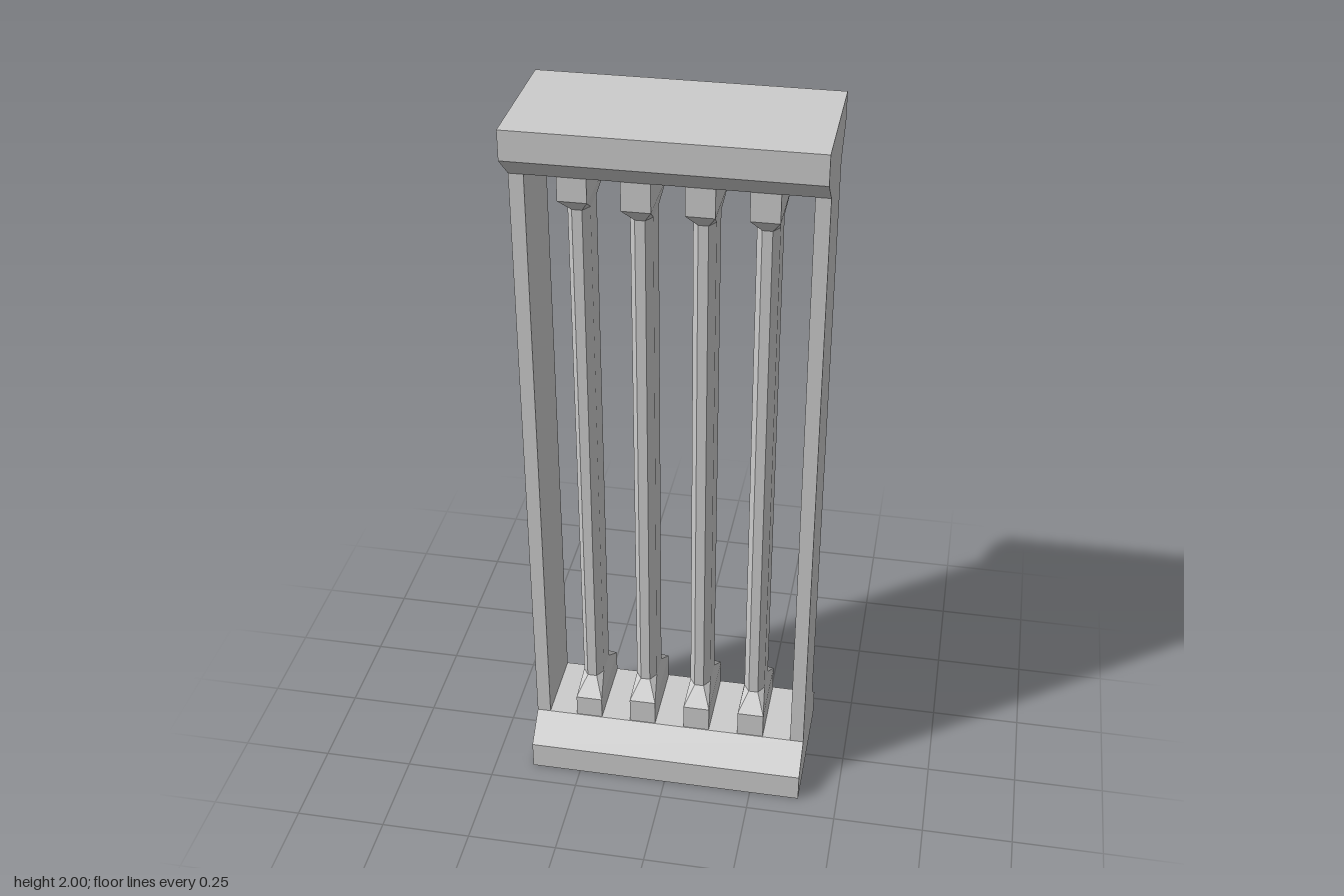
import * as THREE from 'three';

const material = new THREE.MeshStandardMaterial({ color: 0xcccccc, flatShading: true });
const HALF_W = 0.39, HALF_D = 0.188, WALL_D = 0.11, WALL_T = 0.038;

function add(parent, name, geometry) {
  const mesh = new THREE.Mesh(geometry, material);
  mesh.name = name;
  parent.add(mesh);
  return mesh;
}

// Chamfered rail: a (z, y) section extruded along x
function railGeometry(points) {
  const shape = new THREE.Shape(points.map(([z, y]) => new THREE.Vector2(z, y)));
  const g = new THREE.ExtrudeGeometry(shape, { depth: HALF_W * 2, bevelEnabled: false });
  g.translate(0, 0, -HALF_W);
  g.rotateY(-Math.PI / 2);
  return g;
}

// Eight corners of a chamfered rectangle, counter-clockwise seen from above
function ring(y, x, z, cx, cz) {
  return [[x, cz], [x, -cz], [cx, -z], [-cx, -z], [-x, -cz], [-x, cz], [-cx, z], [cx, z]]
    .map(([px, pz]) => [px, y, pz]);
}

// Skin stacked rings into a closed solid
function loft(rings) {
  const pos = [];
  const n = rings[0].length;
  for (let r = 0; r < rings.length - 1; r++) {
    for (let i = 0; i < n; i++) {
      const j = (i + 1) % n;
      const a = rings[r][i], b = rings[r][j], c = rings[r + 1][j], d = rings[r + 1][i];
      pos.push(...a, ...b, ...c, ...a, ...c, ...d);
    }
  }
  const low = rings[0], high = rings[rings.length - 1];
  for (let i = 1; i < n - 1; i++) {
    pos.push(...low[0], ...low[i + 1], ...low[i], ...high[0], ...high[i], ...high[i + 1]);
  }
  const g = new THREE.BufferGeometry();
  g.setAttribute('position', new THREE.Float32BufferAttribute(pos, 3));
  g.computeVertexNormals();
  return g;
}

// Mullion: square-ended foot and head tapering to a slim chamfered shaft
function mullionGeometry(footTop, shaftBottom, shaftTop, headBottom) {
  const block = y => ring(y, 0.037, 0.108, 0.037, 0.108);
  const shaft = y => ring(y, 0.029, 0.06, 0.013, 0.035);
  return loft([
    block(0.145), block(footTop), shaft(shaftBottom),
    shaft(shaftTop), block(headBottom), block(1.86),
  ]);
}

export function createModel() {
  const model = new THREE.Group();
  model.name = 'mullionedFrame';

  // Sill and lintel
  add(model, 'sill', railGeometry([
    [-HALF_D, 0], [HALF_D, 0], [HALF_D, 0.08], [WALL_D, 0.148], [-WALL_D, 0.148], [-HALF_D, 0.08],
  ]));
  add(model, 'lintel', railGeometry([
    [-HALF_D, 2], [-HALF_D, 1.922], [-WALL_D, 1.855], [WALL_D, 1.855], [HALF_D, 1.922], [HALF_D, 2],
  ]));

  // Side posts
  for (const side of [-1, 1]) {
    const post = add(model, side > 0 ? 'leftPost' : 'rightPost',
      new THREE.BoxGeometry(WALL_T, 1.855 - 0.148, WALL_D * 2));
    post.position.set(side * (HALF_W - WALL_T / 2), (1.855 + 0.148) / 2, 0);
  }

  // Four mullions; the first has slightly shorter ends
  for (let i = 0; i < 4; i++) {
    const geometry = i === 0
      ? mullionGeometry(0.212, 0.26, 1.747, 1.79)
      : mullionGeometry(0.223, 0.27, 1.732, 1.777);
    add(model, `mullion${i + 1}`, geometry).position.x = (i - 1.5) * 0.157;
  }
  return model;
}
